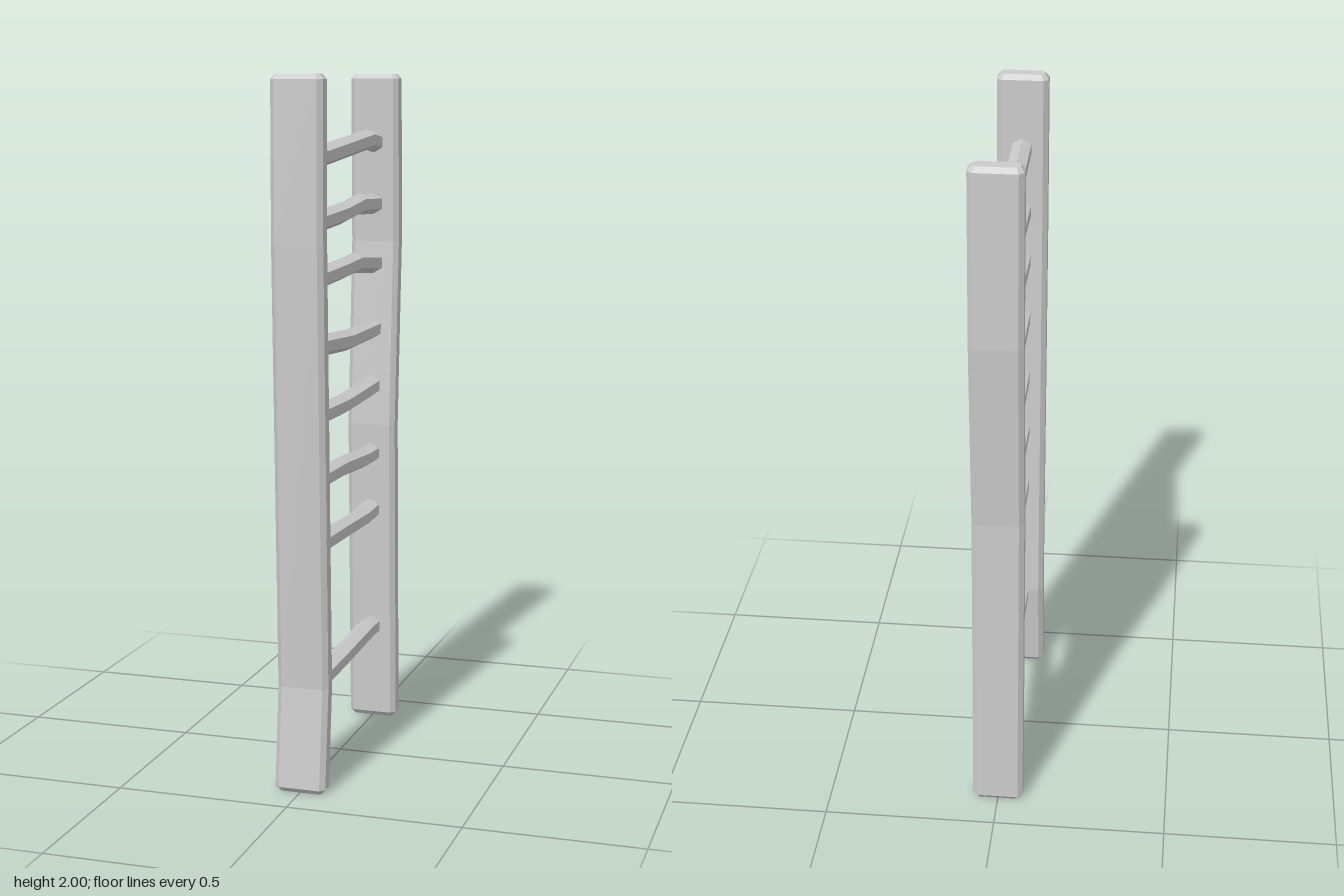
import * as THREE from 'three';

const material = new THREE.MeshStandardMaterial({ color: 0xcccccc, flatShading: true });

// Skins a row of equal-sized rings (counter-clockwise about the path) and caps both ends.
function loft(rings) {
  const n = rings[0].length, last = (rings.length - 1) * n, index = [];
  for (let i = 0; i < rings.length - 1; i++) {
    for (let j = 0; j < n; j++) {
      const a = i * n + j, b = i * n + (j + 1) % n;
      index.push(a, b, b + n, a, b + n, a + n);
    }
  }
  for (let j = 1; j < n - 1; j++) {
    index.push(0, j + 1, j);
    index.push(last, last + j, last + j + 1);
  }
  const geometry = new THREE.BufferGeometry();
  geometry.setAttribute('position', new THREE.Float32BufferAttribute(rings.flat(2), 3));
  geometry.setIndex(index);
  geometry.computeVertexNormals();
  return geometry;
}

// Horizontal plank section with chamfered corners.
function railRing(y, z, inset = 0) {
  const w = 0.074 - inset, t = 0.031 - inset, c = 0.014 - inset * 0.4;
  return [[t, -w + c], [t, w - c], [t - c, w], [-t + c, w],
    [-t, w - c], [-t, -w + c], [-t + c, -w], [t - c, -w]]
    .map(([dz, x]) => [x, y, z + dz]);
}

// Upright plank along [y, z] bends, bevelled at both ends.
function rail(path) {
  const bevel = 0.014;
  const [y0, z0] = path[0], [y1, z1] = path[path.length - 1];
  return loft([
    railRing(y0, z0, bevel * 0.8),
    railRing(y0 + bevel, z0),
    ...path.slice(1, -1).map(([y, z]) => railRing(y, z)),
    railRing(y1 - bevel, z1),
    railRing(y1, z1, bevel * 0.8),
  ]);
}

// Six-sided bar along [z, y] bends, with a ridge on top.
function rung(path) {
  const r = 0.031;
  return loft(path.map(([z, y]) => Array.from({ length: 6 }, (_, k) => {
    const a = Math.PI / 6 + k * Math.PI / 3;
    return [r * Math.cos(a), y + r * Math.sin(a), z];
  })));
}

export function createModel() {
  const model = new THREE.Group();
  model.name = 'ladder';
  const add = (name, geometry) => {
    const mesh = new THREE.Mesh(geometry, material);
    mesh.name = name;
    model.add(mesh);
  };

  // Two crooked side rails
  add('frontRail', rail([[0, 0.362], [0.3, 0.332], [1.55, 0.373], [2, 0.372]]));
  add('backRail', rail([[0, -0.364], [0.94, -0.337], [1.5, -0.374], [2, -0.362]]));

  // Rungs, bottom to top: heights at the back end, two bends [z, y] and the front end
  const rungs = [
    [0.297, [-0.26, 0.299], [0, 0.288], 0.277],
    [0.675, [-0.21, 0.669], [0, 0.676], 0.684],
    [0.852, [-0.23, 0.851], [0, 0.866], 0.871],
    [1.062, [-0.2, 1.056], [0, 1.05], 1.056],
    [1.235, [-0.05, 1.233], [0.19, 1.248], 1.25],
    [1.435, [-0.14, 1.453], [0, 1.446], 1.436],
    [1.614, [-0.17, 1.622], [0, 1.606], 1.592],
    [1.798, [-0.26, 1.808], [0.19, 1.775], 1.784],
  ];
  rungs.forEach(([back, bendA, bendB, front], i) => {
    add(`rung${i + 1}`, rung([[-0.335, back], bendA, bendB, [0.338, front]]));
  });

  return model;
}
